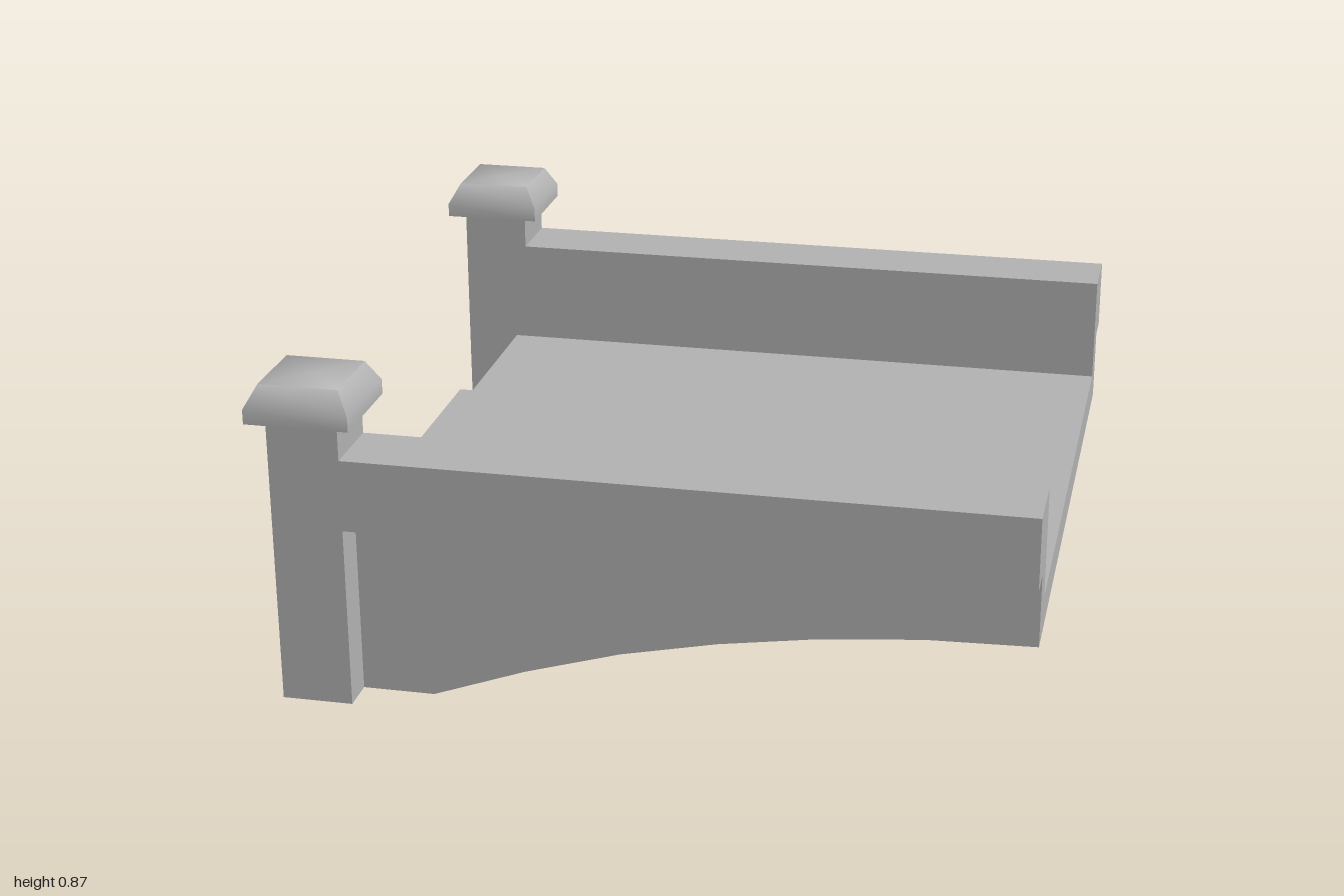
import * as THREE from 'three';
import { toCreasedNormals } from 'three/addons/utils/BufferGeometryUtils.js';

// Underside of the arch, from its springing to the open end
const ARCH = [[-0.565, 0], [-0.32, 0.09], [-0.07, 0.165], [0.18, 0.219], [0.43, 0.258], [0.7, 0.284], [0.98, 0.292]];

export function createModel() {
  const model = new THREE.Group();
  model.name = 'bridgeEnd';
  const stone = new THREE.MeshStandardMaterial({ color: 0xb3b3b3 });
  stone.name = 'grey stone';

  const add = (name, geometry, x = 0, y = 0, z = 0) => {
    const mesh = new THREE.Mesh(geometry, stone);
    mesh.name = name;
    mesh.position.set(x, y, z);
    model.add(mesh);
  };

  // Side profile extruded along z, centred on z = 0; the arch stays smooth
  const slab = (points, depth) => {
    const shape = new THREE.Shape(points.map(([x, y]) => new THREE.Vector2(x, y)));
    const geometry = new THREE.ExtrudeGeometry(shape, { depth, bevelEnabled: false });
    geometry.translate(0, 0, -depth / 2);
    return toCreasedNormals(geometry, 0.3);
  };

  const box = (name, x0, x1, y0, y1, z0, z1) => add(name,
    new THREE.BoxGeometry(x1 - x0, y1 - y0, z1 - z0), (x0 + x1) / 2, (y0 + y1) / 2, (z0 + z1) / 2);

  // Deck with two overhanging steps at the post end
  add('deck', slab([
    [-0.94, 0], ...ARCH, [0.98, 0.385],
    [-0.79, 0.385], [-0.79, 0.29], [-0.755, 0.29], [-0.755, 0.19],
    [-0.98, 0.19], [-0.98, 0.1], [-0.94, 0.1],
  ], 1.54));

  // Square cap with a rounded-off shoulder
  const r = Math.SQRT2;
  const capProfile = [[0, 0.77], [0.135, 0.77], [0.135, 0.808], [0.103, 0.867], [0, 0.867]]
    .map(([x, y]) => new THREE.Vector2(x * r, y));
  const cap = toCreasedNormals(new THREE.LatheGeometry(capProfile, 4).rotateY(Math.PI / 4), 1.1);

  for (const [side, s] of [['left', -1], ['right', 1]]) {
    const zSpan = (a, b) => (s > 0 ? [a, b] : [-b, -a]);
    // Arched side wall, set back under the parapet
    add(side + 'SideWall', slab([[-0.755, 0], ...ARCH, [0.98, 0.485], [-0.755, 0.485]], 0.095), 0, 0, s * 0.8175);
    box(side + 'Parapet', -0.755, 0.98, 0.485, 0.675, ...zSpan(0.77, 0.96));
    box(side + 'Post', -0.94, -0.755, 0, 0.78, ...zSpan(0.77, 0.96));
    add(side + 'PostCap', cap, -0.847, 0, s * 0.865);
  }
  return model;
}
